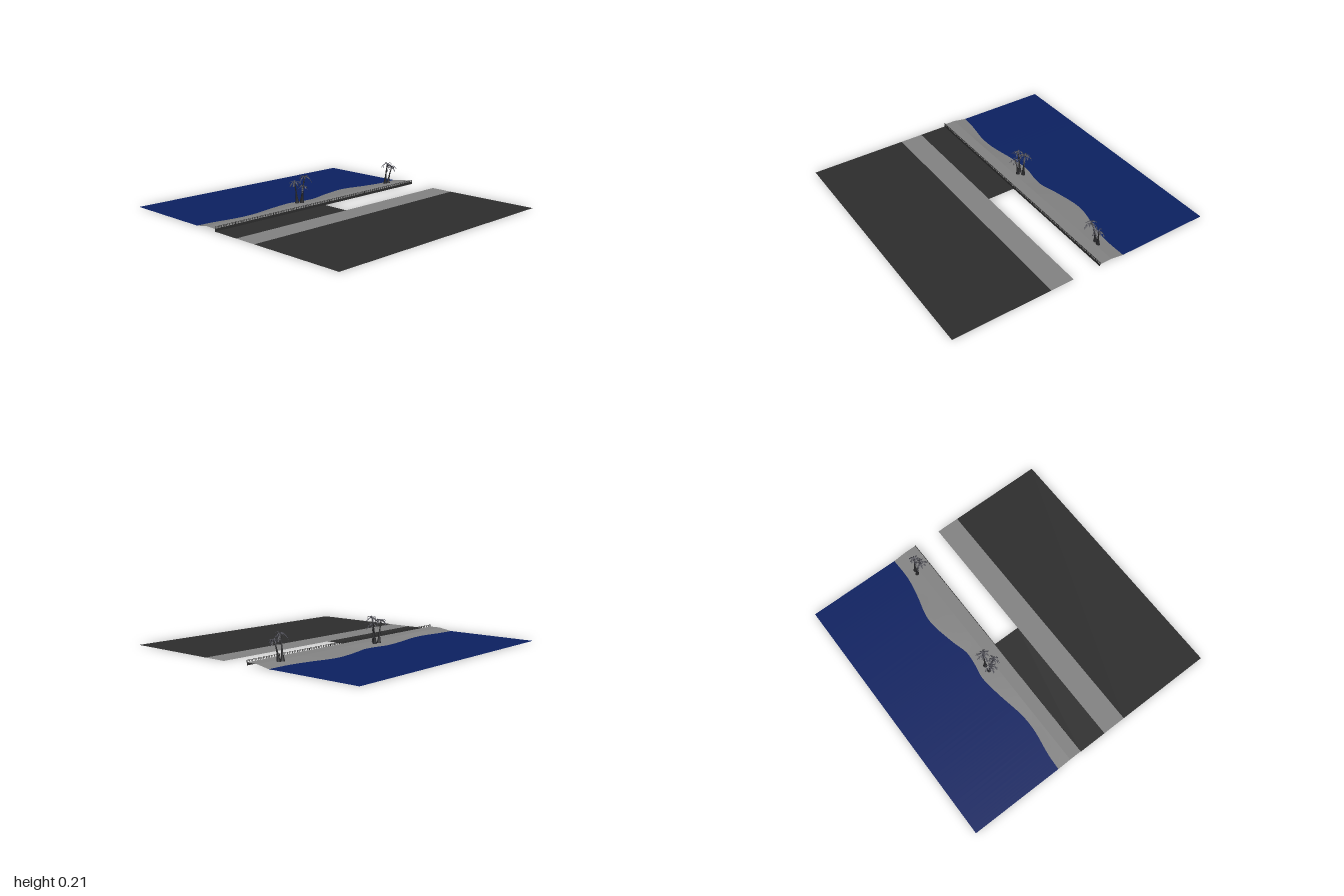
import * as THREE from 'three';
import { mergeGeometries } from 'three/addons/utils/BufferGeometryUtils.js';

const mat = (name, color) => {
  const m = new THREE.MeshStandardMaterial({ color, side: THREE.DoubleSide });
  m.name = name;
  return m;
};

const HALF = 0.977;   // half depth of the terrain
const WALL_X = -0.108;
const TOP = 0.02;     // promenade height

// Surface through rows of points; rows run along +z, columns along +x
function sheet(rows) {
  const n = rows[0].length, index = [];
  for (let r = 0; r < rows.length - 1; r++) {
    for (let c = 0; c < n - 1; c++) {
      const a = r * n + c, b = a + n;
      index.push(a, b, a + 1, a + 1, b, b + 1);
    }
  }
  const g = new THREE.BufferGeometry();
  g.setAttribute('position', new THREE.Float32BufferAttribute(rows.flat(2), 3));
  g.setIndex(index);
  g.computeVertexNormals();
  return g;
}

// Flat rectangle on the ground
const slab = (x0, x1, z0, z1, y) => sheet([z0, z1].map(z => [[x0, y, z], [x1, y, z]]));

// One drooping leaf with a raised rib and saw-toothed edges, pointing along +x
function frondGeometry(length, lift, droop) {
  const pos = [], steps = 8;
  const rib = t => [length * t * (1 - 0.12 * t), lift * t - droop * t * t, 0];
  for (let i = 0; i < steps; i++) {
    const t0 = i / steps, t1 = (i + 1) / steps;
    const a = rib(t0), b = rib(t1);
    const w = length * 0.24 * Math.sin(Math.PI * (0.15 + 0.8 * t0));
    const tip = rib(Math.min(1.1, t1 + 0.1));
    for (const s of [1, -1]) {
      const edge = [tip[0], tip[1] - w * 0.5, s * w];
      pos.push(...(s > 0 ? [a, edge, b] : [a, b, edge]).flat());
    }
  }
  const g = new THREE.BufferGeometry();
  g.setAttribute('position', new THREE.Float32BufferAttribute(pos, 3));
  g.computeVertexNormals();
  return g;
}

// Curved trunk with a flared foot, built from rings
function trunkGeometry(foot, crown) {
  const bend = new THREE.Vector3(foot.x * 0.8 + crown.x * 0.2, (foot.y + crown.y) / 2, foot.z * 0.8 + crown.z * 0.2);
  const curve = new THREE.QuadraticBezierCurve3(foot, bend, crown);
  const rows = [];
  for (let i = 0; i <= 10; i++) {
    const t = i / 10, p = curve.getPoint(t);
    const r = 0.0045 + 0.011 * Math.pow(1 - t, 4);
    rows.push(Array.from({ length: 9 }, (_, k) => {
      const a = (k / 8) * Math.PI * 2;
      return [p.x + r * Math.cos(a), p.y, p.z + r * Math.sin(a)];
    }));
  }
  return sheet(rows);
}

export function createModel() {
  const model = new THREE.Group();
  const water = mat('water blue', 0x0c2162);
  const paving = mat('pale grey', 0x838383);
  const asphalt = mat('asphalt grey', 0x2d2d2d);
  const bark = mat('bark', 0x262628);
  const leaf = mat('leaf grey', 0x4a4a52);
  const add = (name, geometry, material, parent = model) => {
    const m = new THREE.Mesh(geometry, material);
    m.name = name;
    parent.add(m);
    return m;
  };

  // Wavy shoreline shared by the sea and the beach
  const shore = new THREE.CatmullRomCurve3([
    [-0.30, -HALF], [-0.30, -0.8], [-0.325, -0.65], [-0.37, -0.44], [-0.335, -0.21], [-0.30, -0.07],
    [-0.305, 0.02], [-0.325, 0.15], [-0.305, 0.32], [-0.268, 0.53], [-0.266, 0.66], [-0.295, 0.86], [-0.302, HALF],
  ].map(([x, z]) => new THREE.Vector3(x, 0.003, z))).getPoints(72);
  add('sea', sheet(shore.map(p => [[-1, p.y, p.z], [p.x, p.y, p.z]])), water);
  add('beach', sheet(shore.map(({ x, y, z }) => [
    [x - 0.02, 0, z], [x, y, z], [x + 0.03, 0.008, z], [-0.2, TOP, z],
  ])), paving);

  // Promenade, sea wall, road and far side
  add('promenade', slab(-0.2, WALL_X, -HALF, HALF, TOP), paving);
  add('seaWall', sheet([-HALF, HALF].map(z => [[WALL_X, TOP, z], [WALL_X, 0, z]])), asphalt);
  add('road', slab(WALL_X, 0.105, 0, HALF, 0.001), asphalt);
  add('sidewalk', slab(0.105, 0.28, -HALF, HALF, 0.001), paving);
  add('cityGround', slab(0.28, 1, -HALF, HALF, 0.001), asphalt);

  // Railing along the wall
  const rails = [];
  for (const y of [0.0335, 0.027]) {
    rails.push(new THREE.BoxGeometry(0.002, y > 0.03 ? 0.002 : 0.001, HALF * 2).translate(WALL_X, y, 0));
  }
  const posts = 84;
  for (let i = 0; i <= posts; i++) {
    const z = (HALF - 0.002) * (2 * i / posts - 1);
    rails.push(new THREE.BoxGeometry(0.003, 0.014, 0.003).translate(WALL_X, TOP + 0.007, z));
  }
  add('railing', mergeGeometries(rails), asphalt);

  // Palms: foot x, z, then crown x, y, z and leaf length
  const palms = [
    [-0.255, 0.09, -0.25, 0.197, 0.065, 0.06],
    [-0.255, 0.135, -0.255, 0.17, 0.16, 0.055],
    [-0.225, 0.115, -0.205, 0.142, 0.122, 0.05],
    [-0.225, -0.785, -0.19, 0.182, -0.77, 0.058],
    [-0.22, -0.815, -0.2, 0.15, -0.835, 0.05],
  ];
  palms.forEach(([fx, fz, cx, cy, cz, len], k) => {
    const palm = new THREE.Group();
    palm.name = 'palm' + (k + 1);
    model.add(palm);
    add('trunk', trunkGeometry(new THREE.Vector3(fx, 0.014, fz), new THREE.Vector3(cx, cy, cz)), bark, palm);
    const fronds = [];
    for (let i = 0; i < 8; i++) {
      const l = len * (0.85 + 0.15 * Math.sin(i * 2.3 + k));
      const lift = len * (0.6 + 0.3 * Math.cos(i * 2.7 + k));
      fronds.push(frondGeometry(l, lift, len * 0.95)
        .rotateY((i / 8) * Math.PI * 2 + k * 0.7).translate(cx, cy, cz));
    }
    add('fronds', mergeGeometries(fronds), leaf, palm);
  });

  return model;
}
